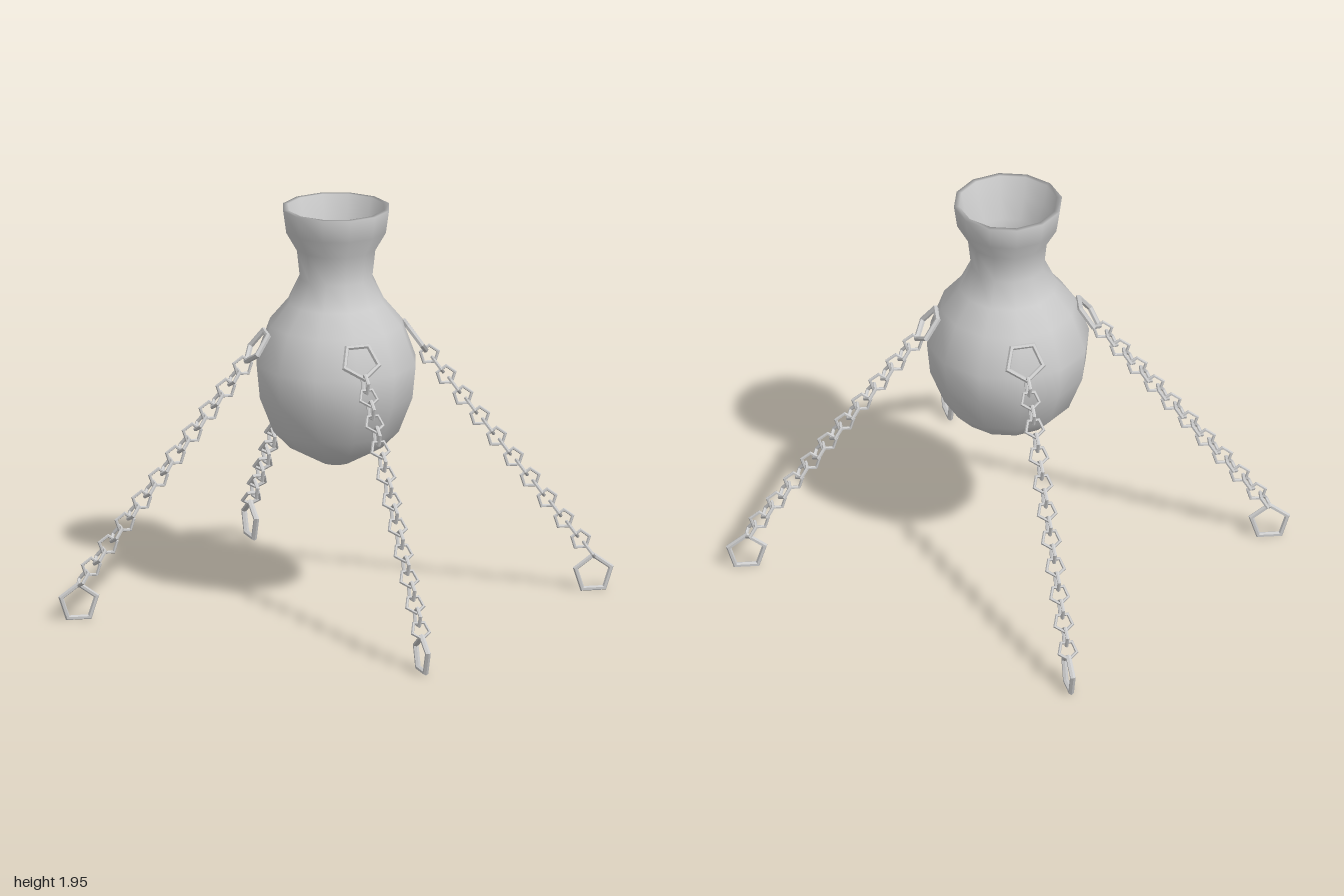
import * as THREE from 'three';

const material = new THREE.MeshStandardMaterial({ color: 0xcccccc });
const linkMaterial = new THREE.MeshStandardMaterial({ color: 0xcccccc, flatShading: true });
const SIDES = 12;

// Twelve-sided vase: outer wall from the base up, over the rim, down the inside
function makeVase() {
  const profile = [
    [0, 0.705], [0.07, 0.705], [0.215, 0.785], [0.295, 0.87], [0.36, 1.04], [0.375, 1.2],
    [0.31, 1.385], [0.225, 1.49], [0.17, 1.61], [0.185, 1.75], [0.235, 1.84], [0.25, 1.95],
    [0.226, 1.95], [0.21, 1.85], [0.162, 1.75], [0.148, 1.61], [0.2, 1.48], [0.285, 1.37],
    [0.35, 1.2], [0.335, 1.04], [0.27, 0.88], [0.2, 0.81], [0.06, 0.73], [0, 0.73],
  ];
  const toCorner = 1 / Math.cos(Math.PI / SIDES); // flats face the axes
  const points = profile.map(([r, y]) => new THREE.Vector2(r * toCorner, y));
  const vase = new THREE.Mesh(new THREE.LatheGeometry(points, SIDES, Math.PI / SIDES), material);
  vase.name = 'vase';
  return vase;
}

// Five-sided ring links; the tip of the pentagon lies on local +x
const largeLink = new THREE.TorusGeometry(0.09, 0.014, 6, 5);
const smallLink = new THREE.TorusGeometry(0.045, 0.009, 6, 5);

function makeLink(geometry, name, position, tip, side) {
  const link = new THREE.Mesh(geometry, linkMaterial);
  link.name = name;
  const normal = new THREE.Vector3().crossVectors(tip, side);
  link.quaternion.setFromRotationMatrix(new THREE.Matrix4().makeBasis(tip, side, normal));
  link.position.copy(position);
  return link;
}

// One chain running down and outward from the vase shoulder
function makeChain(sx, sz, name) {
  const chain = new THREE.Group();
  chain.name = name;
  const top = new THREE.Vector3(0.28 * sx, 1.295, 0.26 * sz);
  const bottom = new THREE.Vector3(0.93 * sx, 0.084, 0.82 * sz);
  const along = bottom.clone().sub(top).normalize();
  const up = new THREE.Vector3(0, 1, 0);
  const outward = new THREE.Vector3(along.x, 0, along.z).normalize();
  const across = new THREE.Vector3().crossVectors(up, outward);
  const lift = new THREE.Vector3().crossVectors(along, across);

  // Large end links: one against the vase, one upright on the ground
  chain.add(makeLink(largeLink, 'shoulderLink', top, along, across));
  chain.add(makeLink(largeLink, 'footLink', bottom, up, outward));

  // Small links, each turned a quarter from the last
  const start = top.clone().addScaledVector(along, 0.085);
  const end = bottom.clone().addScaledVector(up, 0.09);
  const count = 20;
  for (let i = 0; i < count; i++) {
    const position = start.clone().lerp(end, (i + 0.5) / count);
    chain.add(makeLink(smallLink, 'chainLink', position, along, i % 2 ? across : lift));
  }
  return chain;
}

export function createModel() {
  const model = new THREE.Group();
  model.name = 'chainedVase';
  model.add(makeVase());
  for (const sx of [1, -1]) {
    for (const sz of [1, -1]) {
      model.add(makeChain(sx, sz, (sz > 0 ? 'front' : 'back') + (sx > 0 ? 'Left' : 'Right') + 'Chain'));
    }
  }
  return model;
}
